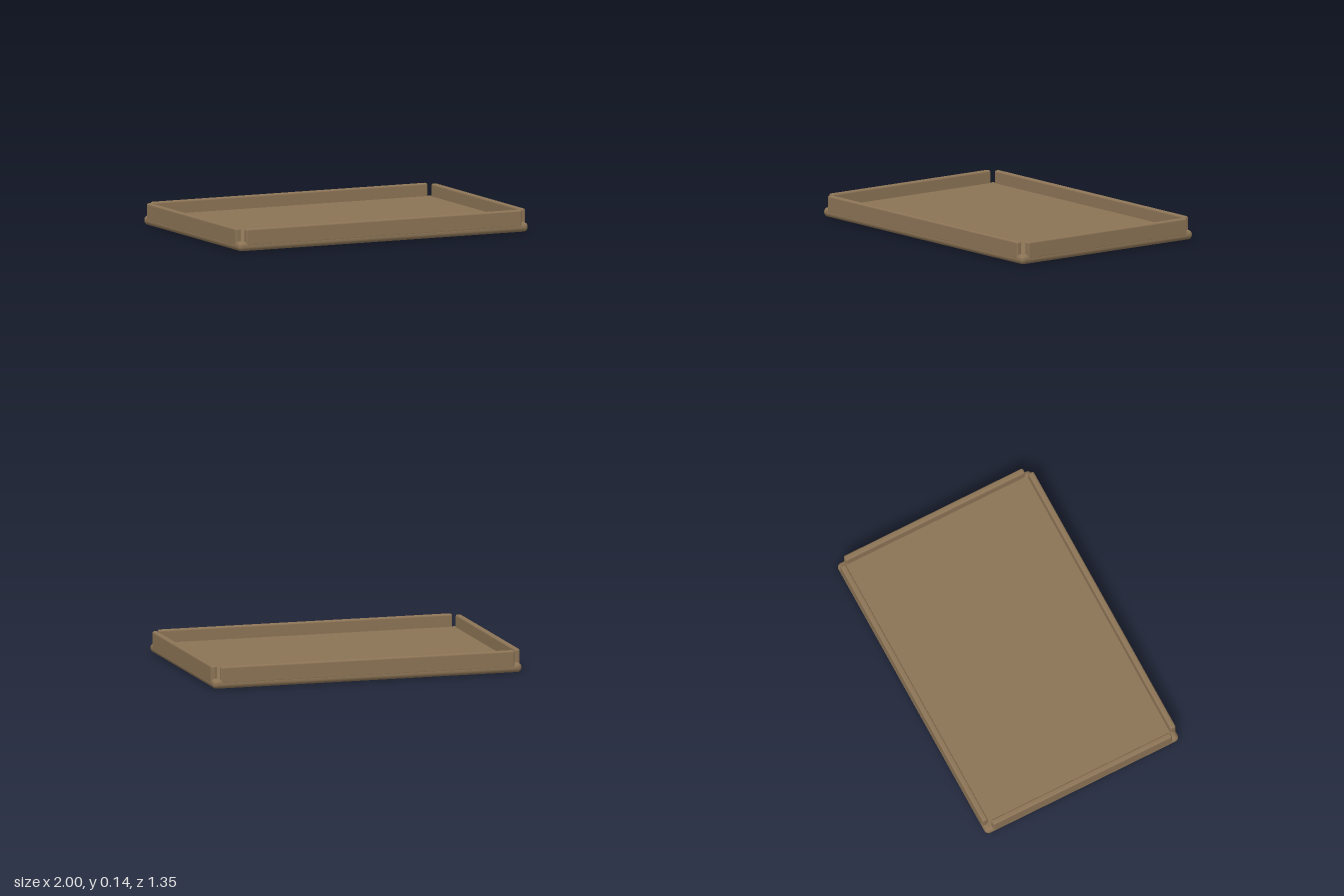
import * as THREE from 'three';
import { RoundedBoxGeometry } from 'three/addons/geometries/RoundedBoxGeometry.js';

export function createModel() {
  const group = new THREE.Group();
  group.name = 'tray';
  const wood = new THREE.MeshStandardMaterial({ name: 'brownWood', color: 0x8b7355 });

  // Rounded box, placed by its centre
  const addBox = (name, size, radius, position) => {
    const mesh = new THREE.Mesh(new RoundedBoxGeometry(...size, 4, radius), wood);
    mesh.name = name;
    mesh.position.set(...position);
    group.add(mesh);
  };

  const width = 2, depth = 1.35, wall = 0.037, bottom = 0.03, top = 0.14;
  const height = top - bottom, midY = (top + bottom) / 2;

  // Base slab with soft edges
  addBox('base', [width, 0.06, depth], 0.028, [0, 0.03, 0]);

  // Rim walls, flush with the base and open at the corners
  for (const s of [1, -1]) {
    addBox(s > 0 ? 'frontWall' : 'backWall', [1.9, height, wall], 0.012,
      [0, midY, s * (depth - wall) / 2]);
    addBox(s > 0 ? 'leftWall' : 'rightWall', [wall, height, 1.25], 0.012,
      [s * (width - wall) / 2, midY, 0]);
  }
  return group;
}
